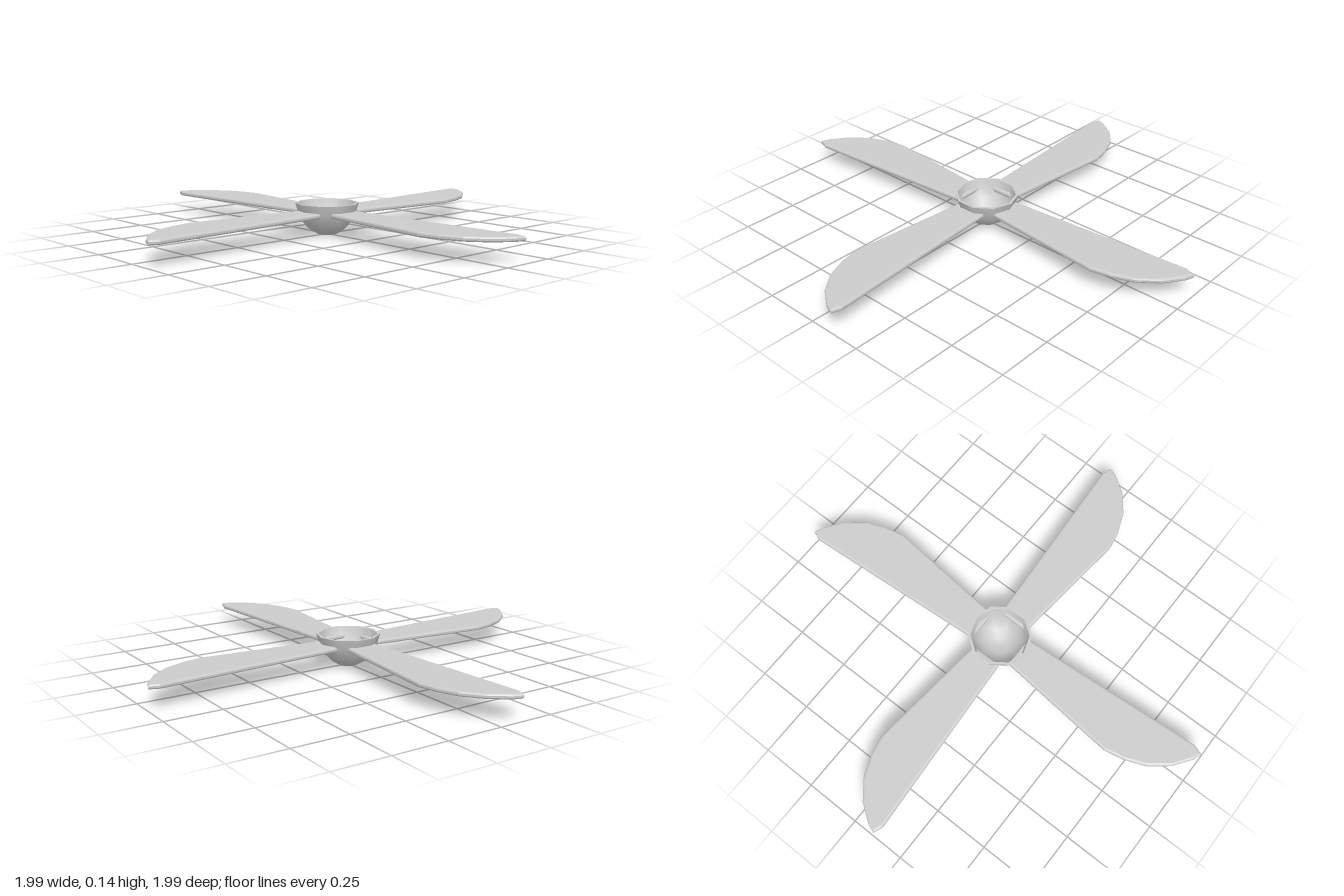
import * as THREE from 'three';

const material = new THREE.MeshStandardMaterial({ color: 0xcccccc, side: THREE.DoubleSide });

// Hollow ten-sided bowl: outer wall up to the rim, then back down inside
function createHub() {
  const outer = [[0, 0], [0.045, 0.001], [0.084, 0.025], [0.113, 0.058], [0.131, 0.1], [0.142, 0.14]];
  const inner = [[0.13, 0.14], [0.119, 0.102], [0.102, 0.064], [0.075, 0.034], [0.04, 0.012], [0, 0.011]];
  const hub = new THREE.Group();
  hub.name = 'hub';
  const walls = { hubOuterWall: outer, hubRim: [outer.at(-1), inner[0]], hubInnerWall: inner };
  for (const [name, profile] of Object.entries(walls)) {
    const points = profile.map(([r, y]) => new THREE.Vector2(r, y));
    const wall = new THREE.Mesh(new THREE.LatheGeometry(points, 10, Math.PI / 2), material);
    wall.name = name;
    hub.add(wall);
  }
  return hub;
}

// Flat blade along +x with a swept tip and bevelled edges
function createBladeGeometry() {
  const outline = [
    [0.1, -0.073], [0.952, -0.129], [0.996, -0.113], [0.982, -0.075], [0.925, 0.005],
    [0.84, 0.072], [0.749, 0.108], [0.66, 0.126], [0.1, 0.07],
  ];
  const bevel = 0.01;
  const thickness = 0.022;
  const bevelThickness = 0.007;
  const shape = new THREE.Shape(outline.map(([x, z]) => new THREE.Vector2(x, z)));
  const geometry = new THREE.ExtrudeGeometry(shape, {
    depth: thickness - 2 * bevelThickness,
    bevelThickness,
    bevelSize: bevel,
    bevelOffset: -bevel,
    bevelSegments: 2,
  });
  geometry.rotateX(Math.PI / 2);
  geometry.translate(0, 0.1, 0);
  return geometry;
}

export function createModel() {
  const model = new THREE.Group();
  model.name = 'propeller';
  model.add(createHub());

  // Four equal blades around the hub
  const bladeGeometry = createBladeGeometry();
  for (let i = 0; i < 4; i++) {
    const blade = new THREE.Mesh(bladeGeometry, material);
    blade.name = `blade${i + 1}`;
    blade.rotation.y = (i * Math.PI) / 2;
    model.add(blade);
  }
  return model;
}
